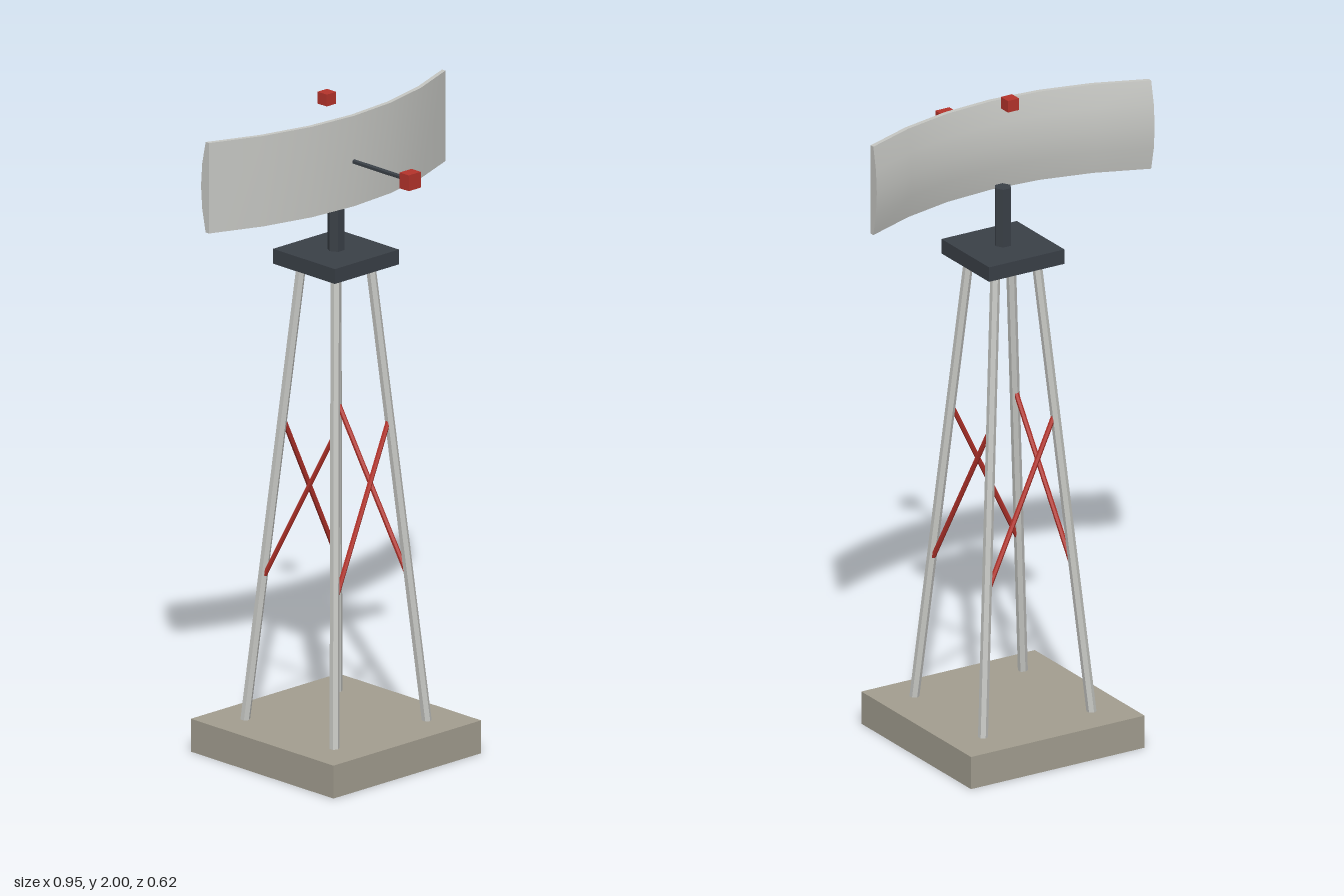
import * as THREE from 'three';
import { toCreasedNormals } from 'three/addons/utils/BufferGeometryUtils.js';

const CZ = -0.017; // tower axis in z

function material(name, color, flatShading = true) {
  const m = new THREE.MeshStandardMaterial({ color, flatShading });
  m.name = name;
  return m;
}

export function createModel() {
  const concrete = material('concrete', 0xa39e90);
  const steel = material('pale steel', 0xc6c7c3);
  const panel = material('panel grey', 0xc6c7c3, false);
  panel.color = steel.color;
  const dark = material('dark metal', 0x3a4047);
  const red = material('signal red', 0xb5332b);

  const model = new THREE.Group();
  model.name = 'radarTower';

  const add = (name, geometry, mat, x = 0, y = 0, z = 0) => {
    const mesh = new THREE.Mesh(geometry, mat);
    mesh.name = name;
    mesh.position.set(x, y, z);
    model.add(mesh);
    return mesh;
  };

  // Round bar between two points
  const bar = (name, a, b, radius, mat) => {
    const dir = b.clone().sub(a);
    const mesh = add(name, new THREE.CylinderGeometry(radius, radius, dir.length(), 6), mat);
    mesh.position.copy(a).add(b).multiplyScalar(0.5);
    mesh.quaternion.setFromUnitVectors(new THREE.Vector3(0, 1, 0), dir.normalize());
    return mesh;
  };

  // Foundation and platform
  add('base', new THREE.BoxGeometry(0.592, 0.1, 0.592), concrete, 0, 0.05, CZ);
  add('platform', new THREE.BoxGeometry(0.257, 0.045, 0.257), dark, 0, 1.508, CZ);

  // Legs lean inwards; corners run round the tower
  const corners = [[1, 1], [1, -1], [-1, -1], [-1, 1]];
  const legPoint = ([sx, sz], y) => {
    const r = 0.185 - 0.115 * (y - 0.1) / 1.39;
    return new THREE.Vector3(sx * r, y, CZ + sz * r);
  };
  corners.forEach((corner, i) => {
    bar('leg', legPoint(corner, 0.08), legPoint(corner, 1.5), 0.0145, steel);
    // One rising brace per side
    bar('brace', legPoint(corner, 0.525), legPoint(corners[(i + 1) % 4], 1.02), 0.0075, red);
  });

  // Mast
  const mast = new THREE.CylinderGeometry(0.026, 0.026, 0.2, 6);
  mast.rotateY(Math.PI / 6);
  add('mast', mast, dark, 0, 1.61, CZ);

  // Reflector: upright front, bulging back, swept back towards both ends
  const half = 0.1375;
  const section = new THREE.Shape();
  section.moveTo(0, -half);
  section.lineTo(0, half);
  for (let i = 0; i <= 4; i++) {
    const t = 1 - i / 2;
    section.lineTo(-0.014 - 0.019 * (1 - t * t), half * t);
  }
  section.closePath();
  let reflector = new THREE.ExtrudeGeometry(section, { depth: 0.948, steps: 6, bevelEnabled: false });
  reflector.translate(0, 0, -0.474);
  reflector.rotateY(-Math.PI / 2);
  const p = reflector.attributes.position;
  for (let i = 0; i < p.count; i++) p.setZ(i, p.getZ(i) - 0.5 * p.getX(i) ** 2);
  reflector = toCreasedNormals(reflector, 0.6);
  add('reflector', reflector, panel, 0, 1.817, 0.059);

  // Feed on its boom, and the warning lamp
  bar('feedBoom', new THREE.Vector3(0, 1.815, 0.04), new THREE.Vector3(0, 1.815, 0.28), 0.0075, dark);
  add('feedHorn', new THREE.BoxGeometry(0.048, 0.048, 0.038), red, 0, 1.815, 0.291);
  add('warningLamp', new THREE.BoxGeometry(0.038, 0.036, 0.038), red, 0, 1.982, -0.055);

  return model;
}
